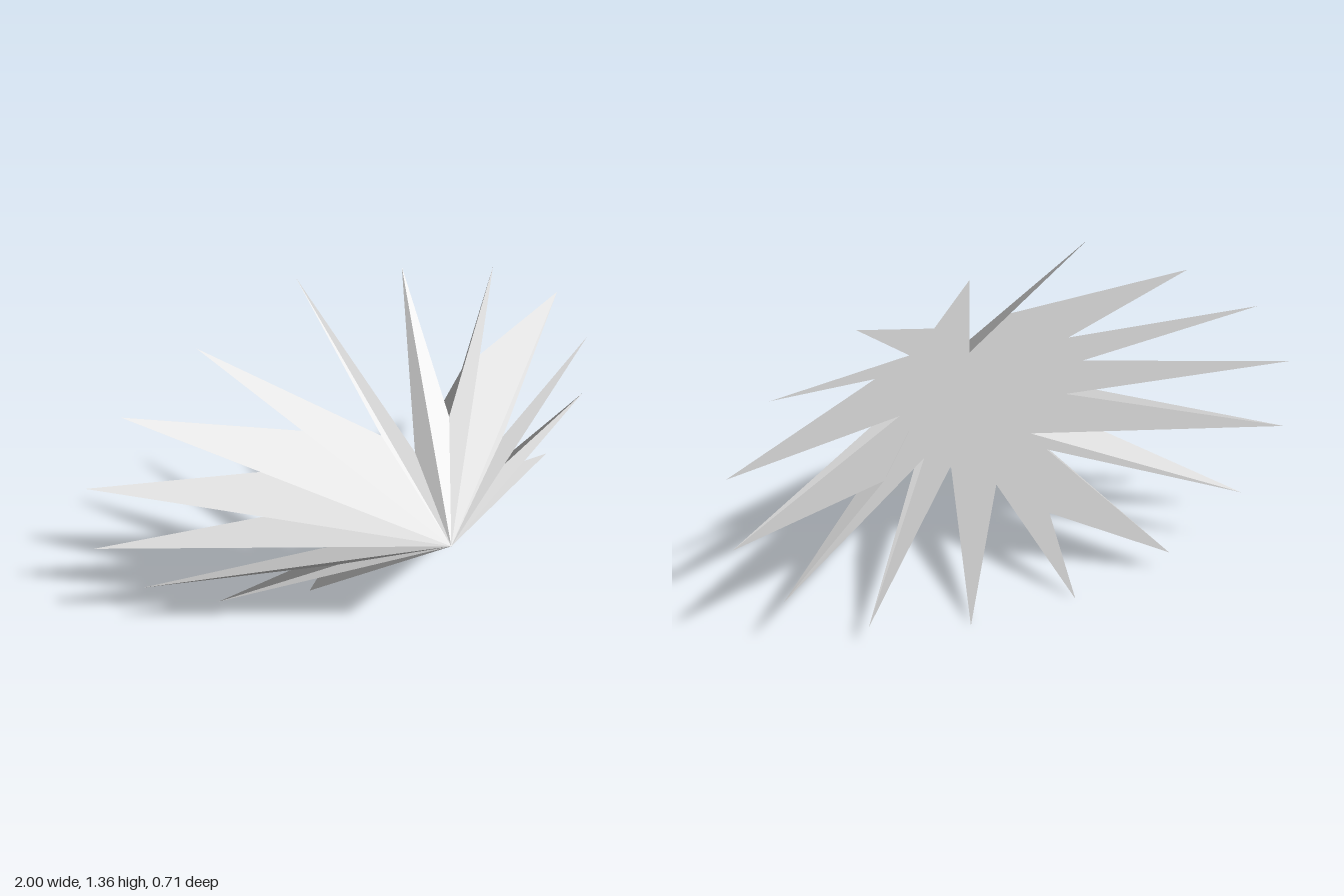
import * as THREE from 'three';

const COUNT = 16;
const CENTRE_Y = 0.65;
const DEPTH = 0.354;

// Valleys between the spikes, counter-clockwise from +x: x, y, z
const VALLEYS = [
  [0.28, 0.62, 0.08], [0.37, 0.79, 0.065], [0.32, 0.965, -0.14], [0.155, 0.94, 0.06],
  [0.03, 0.83, 0.05], [-0.10, 0.945, 0.055], [-0.26, 0.907, -0.12], [-0.26, 0.783, -0.09],
  [-0.29, 0.65, -0.05], [-0.18, 0.49, 0.0], [-0.245, 0.41, 0.0], [-0.16, 0.285, -0.21],
  [-0.01, 0.37, -0.09], [0.10, 0.39, 0.06], [0.20, 0.445, 0.06], [0.41, 0.497, -0.11],
].map((p) => new THREE.Vector3(...p));

// Hollow back: valley numbers of each triangle, counter-clockwise from the front
const BACK = [
  [0, 1, 2], [2, 3, 4], [0, 2, 4], [5, 6, 7], [4, 5, 7], [4, 7, 8], [0, 4, 8],
  [0, 8, 9], [10, 11, 12], [9, 10, 12], [0, 9, 12], [12, 13, 14], [0, 12, 14], [0, 14, 15],
];

// Spike tips lie on an ellipse at the back; one of them is longer
function tip(k) {
  const a = ((k + 0.5) * 2 * Math.PI) / COUNT;
  const y = k === 4 ? 1.363 : CENTRE_Y + 0.66 * Math.sin(a);
  return new THREE.Vector3(1.02 * Math.cos(a), y, -DEPTH);
}

function triangles(points) {
  const geometry = new THREE.BufferGeometry().setFromPoints(points);
  geometry.computeVertexNormals();
  return geometry;
}

export function createModel() {
  const group = new THREE.Group();
  group.name = 'spikedStar';
  const grey = new THREE.MeshStandardMaterial({ color: 0xd9d9d9 });
  grey.name = 'light grey';

  const apex = new THREE.Vector3(0, CENTRE_Y, DEPTH);
  const back = BACK.flatMap(([a, b, c]) => [VALLEYS[a], VALLEYS[c], VALLEYS[b]]);

  // Spikes: two facets each, meeting at the front apex
  for (let k = 0; k < COUNT; k++) {
    const a = VALLEYS[k];
    const b = VALLEYS[(k + 1) % COUNT];
    const t = tip(k);
    const spike = new THREE.Mesh(triangles([apex, a, t, apex, t, b]), grey);
    spike.name = `spike${k + 1}`;
    group.add(spike);
    back.push(a, b, t);
  }

  // Back: closes the spikes and the hollow between them, evenly shaded
  const geometry = triangles(back);
  const normals = geometry.attributes.normal;
  for (let i = 0; i < normals.count; i++) normals.setXYZ(i, 0, 0, -1);
  const cap = new THREE.Mesh(geometry, grey);
  cap.name = 'back';
  group.add(cap);

  return group;
}
